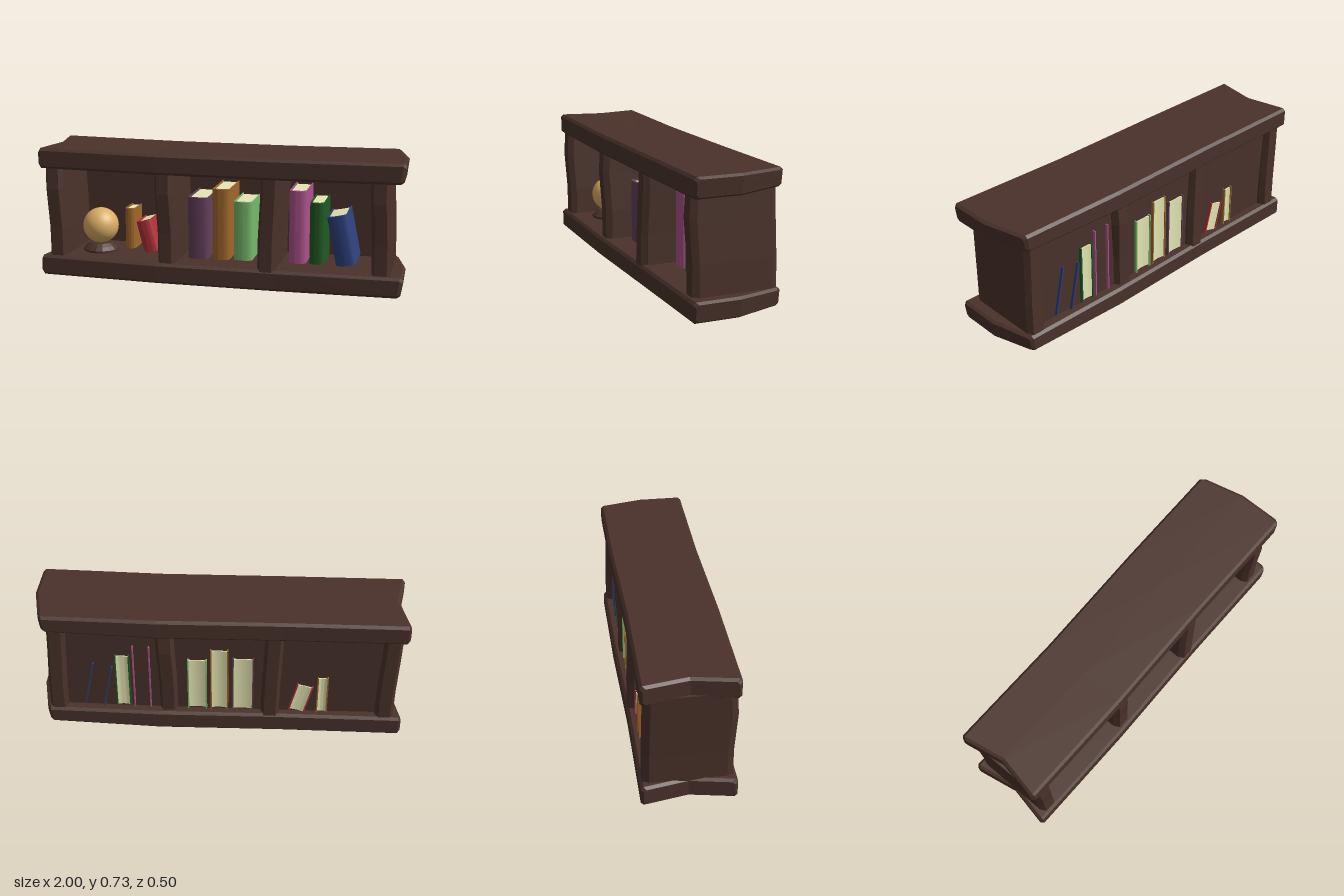
import * as THREE from 'three';
import { toCreasedNormals } from 'three/addons/utils/BufferGeometryUtils.js';

const mat = (name, color, extra = {}) => {
  const m = new THREE.MeshStandardMaterial({ color, ...extra });
  m.name = name;
  return m;
};

// Ten-point chamfered rectangle, counter-clockwise in (u, v)
function chamferedRect(hu, hv, cu, cv) {
  return [
    [hu, -hv + cv], [hu, 0], [hu, hv - cv], [hu - cu, hv], [-hu + cu, hv],
    [-hu, hv - cv], [-hu, 0], [-hu, -hv + cv], [-hu + cu, -hv], [hu - cu, -hv],
  ];
}

// Closed, faceted skin through a list of equal-sized rings
function loft(rings) {
  const pos = [];
  const tri = (...pts) => pts.forEach((p) => pos.push(p.x, p.y, p.z));
  const n = rings[0].length;
  const last = rings.length - 1;
  const centre = (r) => r[1].clone().add(r[6]).multiplyScalar(0.5);
  const c0 = centre(rings[0]), c1 = centre(rings[last]);
  for (let j = 0; j < n; j++) {
    const k = (j + 1) % n;
    for (let i = 0; i < last; i++) {
      const a = rings[i], b = rings[i + 1];
      tri(a[j], a[k], b[k]);
      tri(a[j], b[k], b[j]);
    }
    tri(c0, rings[0][k], rings[0][j]);
    tri(c1, rings[last][j], rings[last][k]);
  }
  const g = new THREE.BufferGeometry();
  g.setAttribute('position', new THREE.Float32BufferAttribute(pos, 3));
  g.computeVertexNormals();
  return g;
}

// Warped horizontal board with notched left end and slanted right end
function boardGeometry() {
  const sections = [ // x, centre y, half height, half depth, centre z
    [-0.995, 0.07, 0.044, 0.228, -0.005],
    [-0.98, 0.07, 0.056, 0.242, -0.005],
    [-0.33, 0.061, 0.056, 0.242, 0.003],
    [0.33, 0.057, 0.056, 0.244, -0.005],
    [0.98, 0.062, 0.055, 0.247, 0],
    [0.997, 0.062, 0.044, 0.235, 0],
  ];
  return loft(sections.map(([x, cy, hu, hv, cz]) =>
    chamferedRect(hu, hv, 0.014, 0.014).map(([y, z]) => {
      const t = Math.min(1, Math.abs(z) / 0.235);
      let dx = 0;
      if (x < -0.9) dx = 0.045 * (1 - t);
      if (x > 0.9) dx = (z < 0 ? -0.055 * t : 0) + y * 0.12;
      const lift = x > 0.9 && z < -0.1 && y < 0 ? 0.012 : 0;
      return new THREE.Vector3(x + dx, cy + y + lift, z + cz);
    })));
}

// Upright whose centre and depth wander slightly with height
function uprightGeometry(halfWidth) {
  const levels = [ // y, centre x, front z, back z
    [0.09, 0.008, 0.22, -0.235],
    [0.28, 0.006, 0.22, -0.232],
    [0.5, -0.004, 0.233, -0.227],
    [0.635, -0.008, 0.222, -0.224],
  ];
  return loft(levels.map(([y, cx, front, back]) =>
    chamferedRect((front - back) / 2, halfWidth, 0.032, 0.018).map(([z, x]) =>
      new THREE.Vector3(x + cx, y, z + (front + back) / 2))));
}

// Plan outline (x, -z) extruded upward
function extrudeUp(shape, height) {
  const g = new THREE.ExtrudeGeometry(shape, { depth: height, bevelEnabled: false, curveSegments: 8 });
  g.rotateX(-Math.PI / 2);
  return toCreasedNormals(g, 0.6);
}

function makeBook(name, w, h, front, back, recess, cover, pages) {
  const book = new THREE.Group();
  book.name = name;
  const a = w / 2, t = 0.007, bulge = 0.02;
  const f = -front, b = -back;

  // Cover: two boards joined by a rounded spine
  const c = new THREE.Shape();
  c.moveTo(-a, b);
  c.lineTo(-a, f + bulge);
  c.quadraticCurveTo(-a * 0.8, f, 0, f);
  c.quadraticCurveTo(a * 0.8, f, a, f + bulge);
  c.lineTo(a, b);
  c.lineTo(a - t, b);
  c.lineTo(a - t, f + bulge + t);
  c.quadraticCurveTo(0, f + t, -a + t, f + bulge + t);
  c.lineTo(-a + t, b);
  c.closePath();
  const coverMesh = new THREE.Mesh(extrudeUp(c, h), cover);
  coverMesh.name = 'bookCover';

  // Page block with a hollowed fore edge
  const p = new THREE.Shape();
  const e = a - t, pb = b - recess;
  p.moveTo(-e, f + bulge + t);
  p.quadraticCurveTo(0, f + t, e, f + bulge + t);
  p.lineTo(e, pb);
  p.quadraticCurveTo(0, pb - 0.012, -e, pb);
  p.closePath();
  const pageMesh = new THREE.Mesh(extrudeUp(p, h - 0.016), pages);
  pageMesh.position.y = 0.008;
  pageMesh.name = 'bookPages';

  book.add(coverMesh, pageMesh);
  return book;
}

export function createModel() {
  const model = new THREE.Group();
  model.name = 'bookshelf';
  const wood = mat('dark wood', 0x4a322a, { flatShading: true });
  const pages = mat('cream pages', 0xe6e6b4);
  const orange = mat('orange cover', 0xa0682a);
  const purple = mat('purple cover', 0x633f5a);
  const lightGreen = mat('light green cover', 0x78b96c);
  const pink = mat('pink cover', 0xac528c);
  const darkGreen = mat('dark green cover', 0x1f5a24);
  const blue = mat('blue cover', 0x2d417c);
  const red = mat('red cover', 0xb0323a);
  const gold = mat('golden ball', 0xdbae64);

  const add = (name, geometry, material, x = 0, y = 0, z = 0) => {
    const m = new THREE.Mesh(geometry, material);
    m.name = name;
    m.position.set(x, y, z);
    model.add(m);
    return m;
  };

  // Shelf boards
  const board = boardGeometry();
  add('bottomBoard', board, wood);
  add('topBoard', board, wood, 0, 0.602);

  // Side panels and dividers
  const upright = uprightGeometry(0.05);
  add('rightSide', upright, wood, -0.908);
  add('rightDivider', upright, wood, -0.285);
  add('leftDivider', upright, wood, 0.285).rotation.y = Math.PI;
  add('leftSide', upright, wood, 0.878).scale.set(1, 1, 1);

  // Back panel
  add('backPanel', new THREE.BoxGeometry(1.78, 0.54, 0.015), wood, 0, 0.365, -0.183);

  // Books: name, x, width, height, spine z, page recess, lean, cover
  const floor = 0.118;
  [
    ['smallOrangeBook', -0.56, 0.06, 0.235, -0.03, 0.006, 0, orange],
    ['smallRedBook', -0.42, 0.09, 0.185, 0.02, 0.006, 0.25, red],
    ['purpleBook', -0.128, 0.115, 0.345, 0.1, 0.006, 0, purple],
    ['orangeBook', 0, 0.097, 0.395, 0.09, 0.006, 0, orange],
    ['lightGreenBook', 0.12, 0.105, 0.328, 0.08, 0.006, 0, lightGreen],
    ['pinkBook', 0.422, 0.095, 0.402, 0.075, 0.035, 0, pink],
    ['darkGreenBook', 0.526, 0.08, 0.34, 0.07, 0.006, 0, darkGreen],
    ['blueBook', 0.688, 0.11, 0.278, 0.07, 0.035, 0.2, blue],
  ].forEach(([name, x, w, h, front, recess, lean, cover]) => {
    const book = makeBook(name, w, h, front, -0.207, recess, cover, pages);
    book.position.set(x, floor, 0);
    book.rotation.z = lean;
    model.add(book);
  });

  // Ball on a round stand
  const profile = [[0, 0], [0.1, 0], [0.1, 0.016], [0.082, 0.034], [0.062, 0.05], [0, 0.05]];
  const stand = new THREE.LatheGeometry(profile.map(([r, y]) => new THREE.Vector2(r, y)), 16);
  add('ballStand', stand, wood, -0.71, floor, 0.03);
  add('ball', new THREE.SphereGeometry(0.1, 32, 20), gold, -0.71, 0.265, 0.03);

  return model;
}
